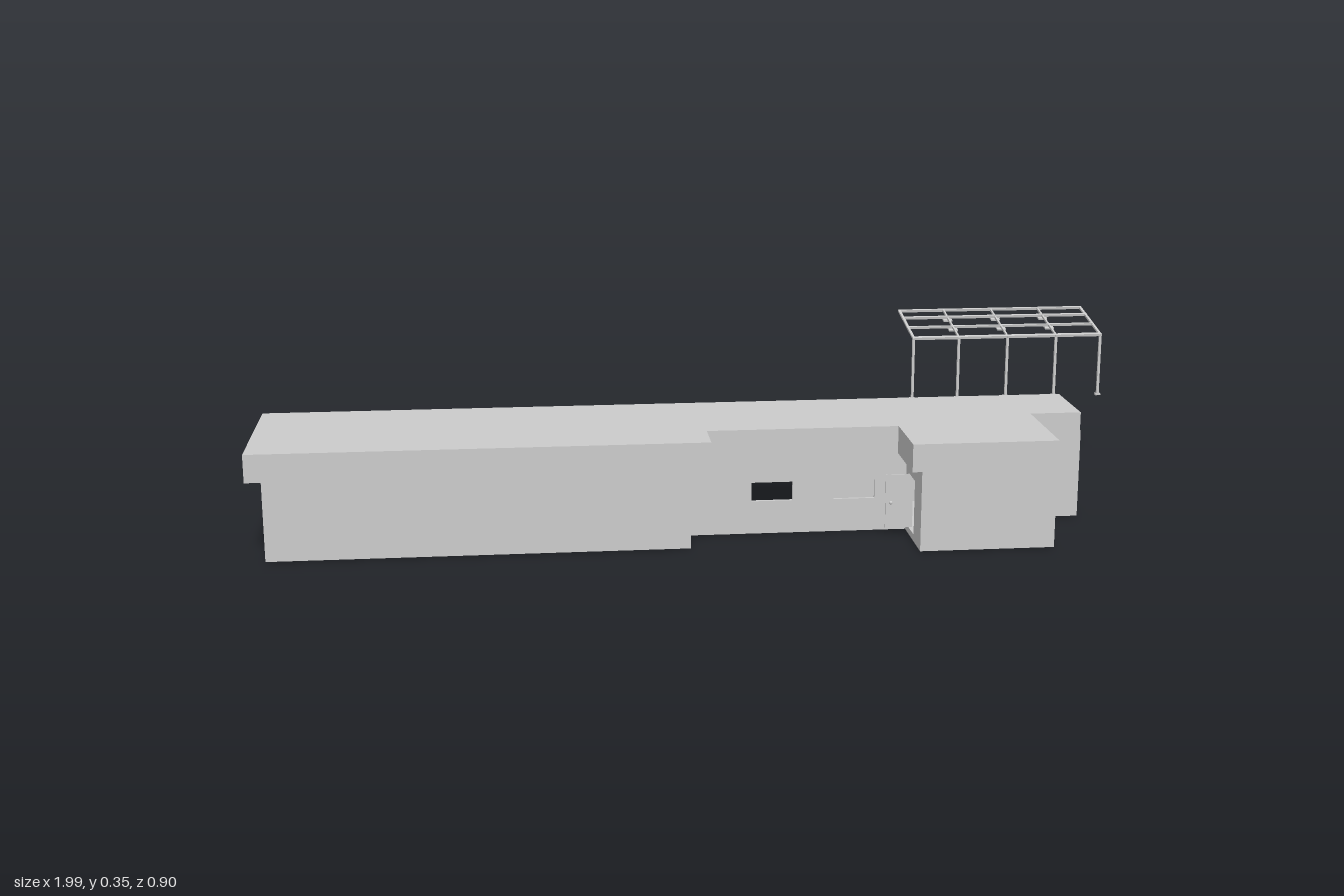
import * as THREE from 'three';

const grey = new THREE.MeshStandardMaterial({ color: 0xcccccc, side: THREE.DoubleSide });

function add(parent, name, geometry, x = 0, y = 0, z = 0) {
  const mesh = new THREE.Mesh(geometry, grey);
  mesh.name = name;
  mesh.position.set(x, y, z);
  parent.add(mesh);
  return mesh;
}

function outline(points, Type = THREE.Shape) {
  return new Type(points.map(([x, z]) => new THREE.Vector2(x, z)));
}

// Plan polygon (x, z) extruded from y0 up to y1
function slab(points, y0, y1, hole) {
  const shape = outline(points);
  if (hole) shape.holes.push(outline(hole, THREE.Path));
  const geometry = new THREE.ExtrudeGeometry(shape, { depth: y1 - y0, bevelEnabled: false });
  return geometry.rotateX(Math.PI / 2).translate(0, y1, 0);
}

// Upright wall between two plan points; openings are [start, end, bottom, top] along it
function wall(parent, name, [x1, z1], [x2, z2], height, openings = []) {
  const length = Math.hypot(x2 - x1, z2 - z1);
  const rect = (a, b, c, d) => [[a, c], [b, c], [b, d], [a, d]];
  const shape = outline(rect(0, length, 0, height));
  for (const o of openings) shape.holes.push(outline(rect(...o), THREE.Path));
  const geometry = new THREE.ExtrudeGeometry(shape, { depth: 0.008, bevelEnabled: false });
  add(parent, name, geometry, x1, 0, z1).rotation.y = -Math.atan2(z2 - z1, x2 - x1);
}

// Open door leaf with a knob on both faces
function door(parent, x, z, angle) {
  const leaf = new THREE.Group();
  leaf.name = 'openDoor';
  add(leaf, 'doorLeaf', new THREE.BoxGeometry(0.054, 0.12, 0.003), 0.027, 0.075, 0);
  for (const side of [-1, 1]) {
    add(leaf, 'doorKnob', new THREE.SphereGeometry(0.004, 10, 8), 0.043, 0.073, side * 0.005);
  }
  leaf.position.set(x, 0, z);
  leaf.rotation.y = angle;
  parent.add(leaf);
}

// Sloping open frame carried by one row of posts
function createCanopy() {
  const canopy = new THREE.Group();
  canopy.name = 'canopy';
  const xs = [0.523, 0.635, 0.756, 0.877, 0.988];
  for (const x of xs) {
    add(canopy, 'post', new THREE.BoxGeometry(0.006, 0.15, 0.006), x, 0.236, -0.267);
    add(canopy, 'postFoot', new THREE.BoxGeometry(0.013, 0.004, 0.013), x, 0.162, -0.267);
  }
  const frame = new THREE.Group();
  frame.name = 'slopingFrame';
  frame.position.set(0, 0.311, -0.262);
  frame.rotation.x = Math.atan2(0.034, 0.185);
  const depth = 0.19;
  xs.forEach((x, i) => {
    const w = i % 4 === 0 ? 0.006 : 0.004;
    add(frame, 'rafter', new THREE.BoxGeometry(w, 0.005, depth), x, 0, -depth / 2);
  });
  for (const [z, w] of [[0.006, 0.01], [0.075, 0.005], [0.139, 0.007], [0.187, 0.006]]) {
    add(frame, 'purlin', new THREE.BoxGeometry(0.471, 0.006, w), 0.7555, 0, -z);
  }
  for (const x of xs.slice(1, 4)) {
    for (const z of [0.075, 0.139]) {
      add(frame, 'jointPlate', new THREE.BoxGeometry(0.022, 0.004, 0.022), x, -0.006, -z);
    }
  }
  canopy.add(frame);
  return canopy;
}

export function createModel() {
  const model = new THREE.Group();
  model.name = 'building';

  // Flat roof: solid top with a deep eave ring around the open-backed rooms
  const roof = [[-1, 0.04], [0.8, 0.04], [0.8, 0.217], [0.686, 0.217], [0.686, 0.45],
    [0.375, 0.45], [0.375, 0.295], [-0.04, 0.295], [-0.04, 0.39], [-1, 0.39]];
  const rooms = [[-0.97, 0.07], [0.4, 0.07], [0.4, 0.27], [-0.08, 0.27], [-0.08, 0.36], [-0.97, 0.36]];
  add(model, 'roofTop', slab(roof, 0.2, 0.24));
  add(model, 'roofEave', slab(roof, 0.18, 0.2, rooms));

  // Long hall, open at the back
  wall(model, 'hallFrontWall', [-0.08, 0.36], [-0.97, 0.36], 0.2);
  wall(model, 'hallRightWall', [-0.97, 0.36], [-0.97, 0.07], 0.2);
  wall(model, 'hallLeftWall', [-0.08, 0.07], [-0.08, 0.36], 0.2);

  // Recessed middle wall with an open and a closed window
  wall(model, 'middleFrontWall', [0.4, 0.27], [-0.08, 0.27], 0.2,
    [[0.25, 0.34, 0.073, 0.115], [0.07, 0.16, 0.073, 0.115]]);
  add(model, 'windowPane', new THREE.BoxGeometry(0.09, 0.042, 0.002), 0.285, 0.094, 0.263);

  // Stepped end block with floor and doorways
  const block = [[0.4, 0.07], [0.803, 0.07], [0.803, 0.213], [0.69, 0.213], [0.69, 0.43], [0.4, 0.43]];
  const doorways = { 0: [[0.11, 0.23, 0.015, 0.135]], 5: [[0.07, 0.125, 0.015, 0.135]] };
  block.forEach((p, i) => wall(model, 'blockWall', p, block[(i + 1) % block.length], 0.198, doorways[i]));
  add(model, 'blockFloor', slab(block, 0, 0.004));

  // Open doors: a pair at the back, one beside the recess
  door(model, 0.51, 0.072, Math.PI / 2);
  door(model, 0.63, 0.072, Math.PI / 2);
  door(model, 0.402, 0.305, Math.PI);

  model.add(createCanopy());
  return model;
}
